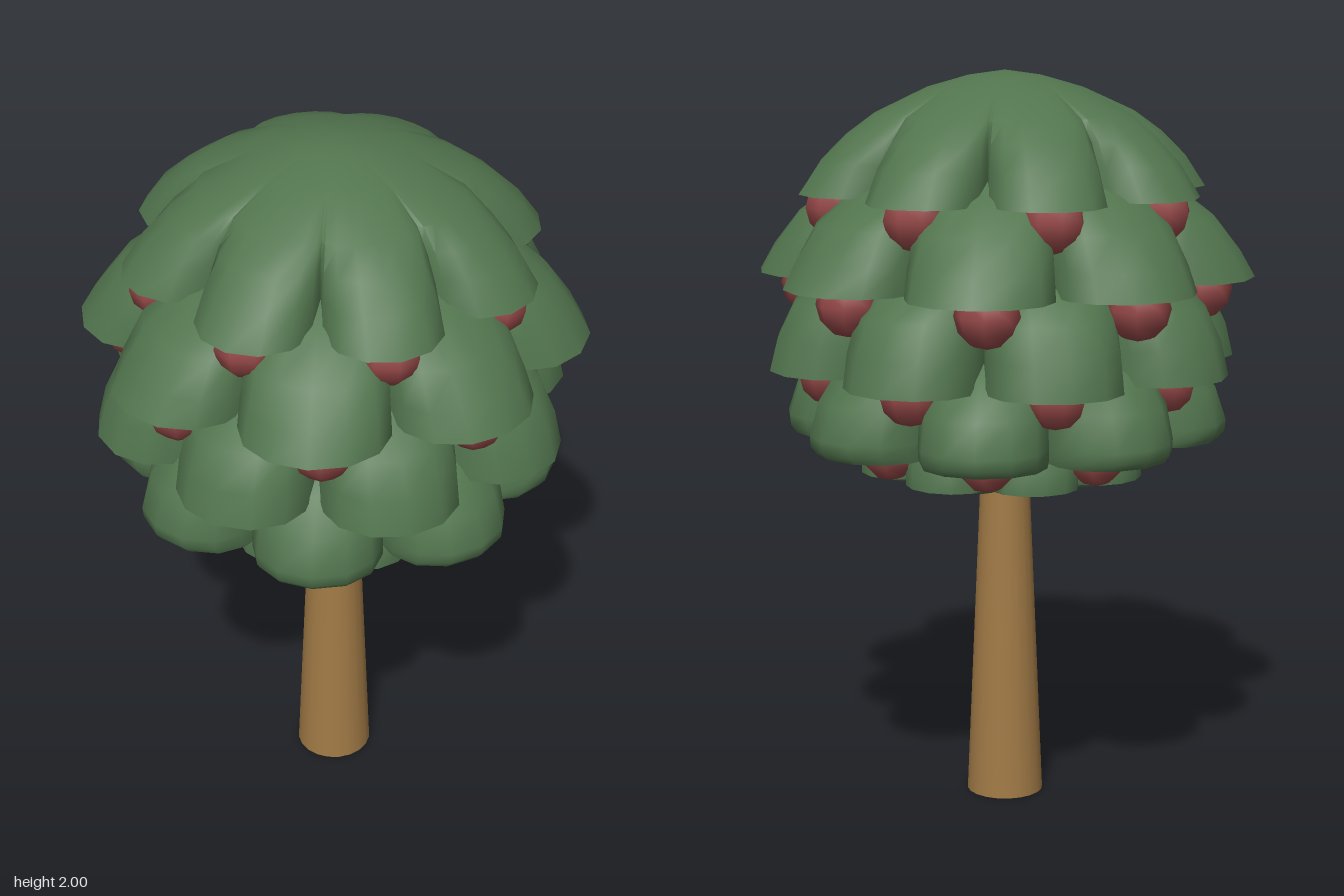
import * as THREE from 'three';
import { mergeVertices, toCreasedNormals } from 'three/addons/utils/BufferGeometryUtils.js';

const LOBES = 8, SEG = 8; // lobes per tier, segments per lobe

const leafMat = new THREE.MeshStandardMaterial({ color: 0x52754e });
const fruitMat = new THREE.MeshStandardMaterial({ color: 0x964848 });
const barkMat = new THREE.MeshStandardMaterial({ color: 0xa17a46 });

// Scalloped dome: rings run from the crown down and under, each [tipRadius, valleyRadius, y]
function tierGeometry(rings, turn) {
  const pos = [], idx = [], n = LOBES * SEG;
  for (const [tip, valley, y] of rings) {
    for (let i = 0; i < n; i++) {
      const phi = ((i % SEG) / SEG - 0.5) * Math.PI; // rounded, elliptical lobe outline
      const lobe = Math.floor(i / SEG);
      const a = turn + (lobe + Math.sin(phi) / 2) * (2 * Math.PI / LOBES);
      const r = valley + (tip - valley) * Math.cos(phi);
      pos.push(r * Math.sin(a), y, r * Math.cos(a));
    }
  }
  for (let k = 0; k < rings.length - 1; k++) {
    for (let i = 0; i < n; i++) {
      const j = (i + 1) % n;
      const a = k * n + i, b = k * n + j, c = a + n, d = b + n;
      if (rings[k][0] > 0) idx.push(a, c, b);
      if (rings[k + 1][0] > 0) idx.push(b, c, d);
    }
  }
  const g = new THREE.BufferGeometry();
  g.setAttribute('position', new THREE.Float32BufferAttribute(pos, 3));
  g.setIndex(idx);
  return toCreasedNormals(mergeVertices(g), 0.9);
}

const half = Math.PI / LOBES;

// Foliage tiers from the top down; the last ring of each closes its underside
const tiers = [
  { turn: 0, rings: [[0, 0, 2], [0.1, 0.1, 1.985], [0.21, 0.21, 1.953], [0.35, 0.32, 1.89],
    [0.43, 0.34, 1.835], [0.5, 0.345, 1.77], [0.56, 0.345, 1.685], [0, 0, 1.685]] },
  { turn: half, rings: [[0, 0, 1.78], [0.3, 0.3, 1.76], [0.45, 0.41, 1.7], [0.56, 0.45, 1.62],
    [0.63, 0.46, 1.53], [0.67, 0.46, 1.46], [0, 0, 1.46]] },
  { turn: 0, rings: [[0, 0, 1.57], [0.34, 0.34, 1.54], [0.48, 0.4, 1.48], [0.575, 0.42, 1.4],
    [0.622, 0.425, 1.31], [0.645, 0.425, 1.22], [0, 0, 1.22]] },
  { turn: half, rings: [[0, 0, 1.35], [0.36, 0.34, 1.32], [0.5, 0.38, 1.25], [0.57, 0.4, 1.16],
    [0.6, 0.4, 1.07], [0.597, 0.4, 1.04], [0.58, 0.39, 1.02], [0, 0, 1.02]] },
  { turn: 0, rings: [[0, 0, 1.14], [0.28, 0.25, 1.12], [0.36, 0.27, 1.06], [0.4, 0.28, 0.99],
    [0.4, 0.28, 0.93], [0.25, 0.2, 0.9], [0, 0, 0.9]] },
];

// Rings of fruit tucked under the lobes of the tier above
const fruitRows = [
  { y: 1.65, r: 0.46, size: 0.082, turn: 0 },
  { y: 1.425, r: 0.525, size: 0.085, turn: half + 0.04 },
  { y: 1.205, r: 0.485, size: 0.082, turn: 0 },
  { y: 1.015, r: 0.385, size: 0.075, turn: half },
];

export function createModel() {
  const tree = new THREE.Group();
  tree.name = 'fruitTree';

  // Tapered trunk
  const trunk = new THREE.Mesh(new THREE.CylinderGeometry(0.063, 0.105, 1, 20), barkMat);
  trunk.position.y = 0.5;
  trunk.name = 'trunk';
  tree.add(trunk);

  // Foliage
  const foliage = new THREE.Group();
  foliage.name = 'foliage';
  tiers.forEach(({ rings, turn }, i) => {
    const tier = new THREE.Mesh(tierGeometry(rings, turn), leafMat);
    tier.name = `foliageTier${i + 1}`;
    foliage.add(tier);
  });
  tree.add(foliage);

  // Fruit
  fruitRows.forEach(({ y, r, size, turn }, i) => {
    const row = new THREE.Group();
    row.name = `fruitRow${i + 1}`;
    const geo = new THREE.SphereGeometry(size, 8, 6);
    for (let k = 0; k < LOBES; k++) {
      const a = turn + k * 2 * half;
      const fruit = new THREE.Mesh(geo, fruitMat);
      fruit.position.set(r * Math.sin(a), y, r * Math.cos(a));
      fruit.rotation.y = a;
      fruit.name = 'fruit';
      row.add(fruit);
    }
    tree.add(row);
  });

  return tree;
}
